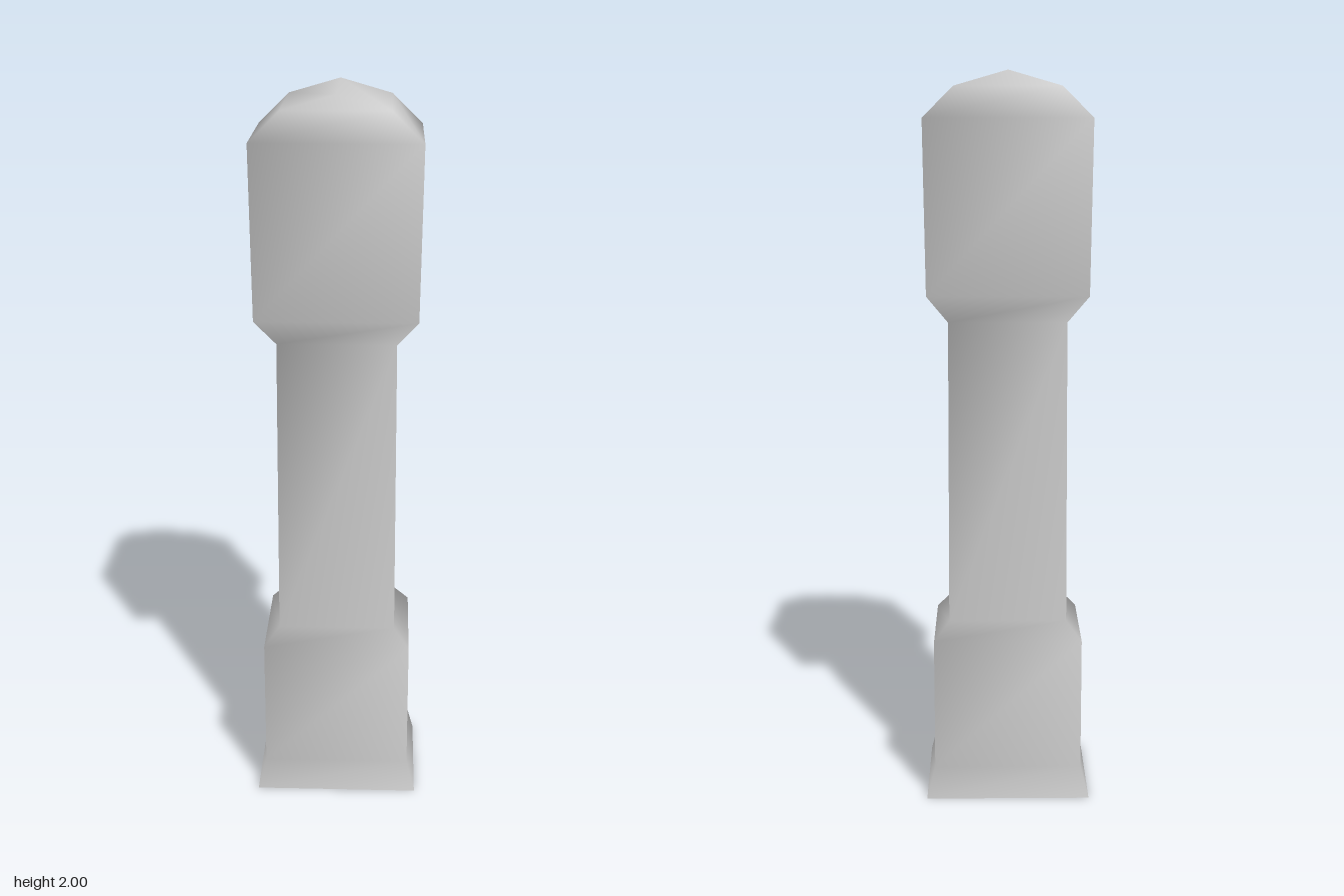
import * as THREE from 'three';
import { mergeVertices } from 'three/addons/utils/BufferGeometryUtils.js';

// Rectangular cross-sections from bottom to top: [y, half width, half depth]
const SECTIONS = [
  [0, 0.228, 0.177],     // flared foot
  [0.09, 0.205, 0.163],
  [0.46, 0.205, 0.163],  // base shoulder
  [0.51, 0.163, 0.131],
  [1.345, 0.16, 0.124],  // top of the shaft
  [1.42, 0.216, 0.174],  // head
  [1.88, 0.222, 0.176],
  [1.96, 0.14, 0.176],   // faceted roof
  [2, 0, 0.176],         // ridge along z
];

function loftRectangles(sections) {
  const positions = [];
  const index = [];
  for (const [y, w, d] of sections) {
    positions.push(w, y, d, w, y, -d, -w, y, -d, -w, y, d);
  }
  for (let i = 0; i < sections.length - 1; i++) {
    for (let k = 0; k < 4; k++) {
      const a = i * 4 + k;
      const b = i * 4 + ((k + 1) % 4);
      index.push(a, b, b + 4, a, b + 4, a + 4);
    }
  }
  let geometry = new THREE.BufferGeometry();
  geometry.setAttribute('position', new THREE.Float32BufferAttribute(positions, 3));
  geometry.setIndex(index);
  // Weld the ridge, then shade smoothly around all corners
  geometry = mergeVertices(geometry);
  geometry.computeVertexNormals();
  return geometry;
}

export function createModel() {
  const group = new THREE.Group();
  group.name = 'post';

  // Hollow post, open underneath
  const post = new THREE.Mesh(
    loftRectangles(SECTIONS),
    new THREE.MeshStandardMaterial({ color: 0xcccccc, side: THREE.DoubleSide })
  );
  post.name = 'postBody';
  group.add(post);
  return group;
}
